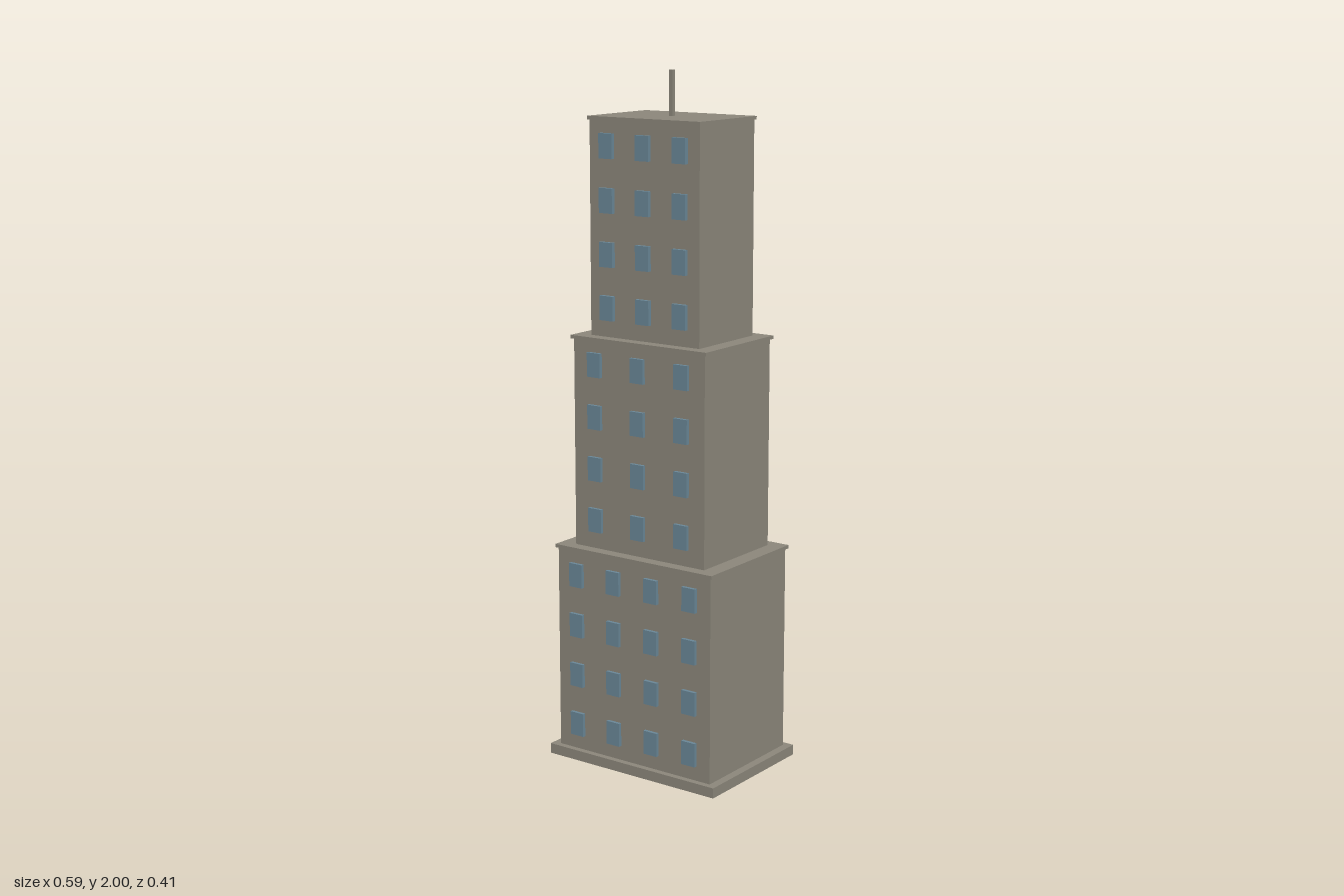
import * as THREE from 'three';

export function createModel() {
  const tower = new THREE.Group();
  tower.name = 'tower';

  const stone = new THREE.MeshStandardMaterial({ color: 0x8c877b });
  stone.name = 'stone';
  const glass = new THREE.MeshStandardMaterial({ color: 0x6a8797 });
  glass.name = 'glass';

  // Box standing on height y
  const block = (parent, name, w, h, d, x, y, z, material) => {
    const mesh = new THREE.Mesh(new THREE.BoxGeometry(w, h, d), material);
    mesh.name = name;
    mesh.position.set(x, y + h / 2, z);
    parent.add(mesh);
    return mesh;
  };

  // Plinth
  block(tower, 'plinth', 0.587, 0.03, 0.412, 0, 0, 0, stone);

  // Three stepped tiers, each with a thin cornice and windows front and back
  const tiers = [
    { name: 'lowerTier', w: 0.538, d: 0.376, y: 0.03, top: 0.643, cw: 0.552, cd: 0.388,
      face: 0.198, columns: [-0.2, -0.067, 0.067, 0.2], sill: 0.108 },
    { name: 'middleTier', w: 0.454, d: 0.318, y: 0.643, top: 1.258, cw: 0.47, cd: 0.33,
      face: 0.169, columns: [-0.151, 0, 0.151], sill: 0.727 },
    { name: 'upperTier', w: 0.375, d: 0.26, y: 1.258, top: 1.874, cw: 0.384, cd: 0.27,
      face: 0.142, columns: [-0.125, 0, 0.125], sill: 1.341 },
  ];
  const cornice = 0.01;
  const storey = 0.151;
  const windowW = 0.046;
  const windowH = 0.07;

  for (const t of tiers) {
    const group = new THREE.Group();
    group.name = t.name;
    tower.add(group);
    block(group, 'walls', t.w, t.top - cornice - t.y, t.d, 0, t.y, 0, stone);
    block(group, 'cornice', t.cw, cornice, t.cd, 0, t.top - cornice, 0, stone);

    // Window plates fixed to the wall surface
    const depth = t.face - t.d / 2;
    for (const side of [1, -1]) {
      for (let row = 0; row < 4; row++) {
        for (const x of t.columns) {
          block(group, side > 0 ? 'frontWindow' : 'backWindow', windowW, windowH, depth,
            x, t.sill + row * storey - windowH / 2, side * (t.face - depth / 2), glass);
        }
      }
    }
  }

  // Roof mast
  block(tower, 'mast', 0.012, 0.126, 0.012, 0, 1.874, 0, stone);

  return tower;
}
